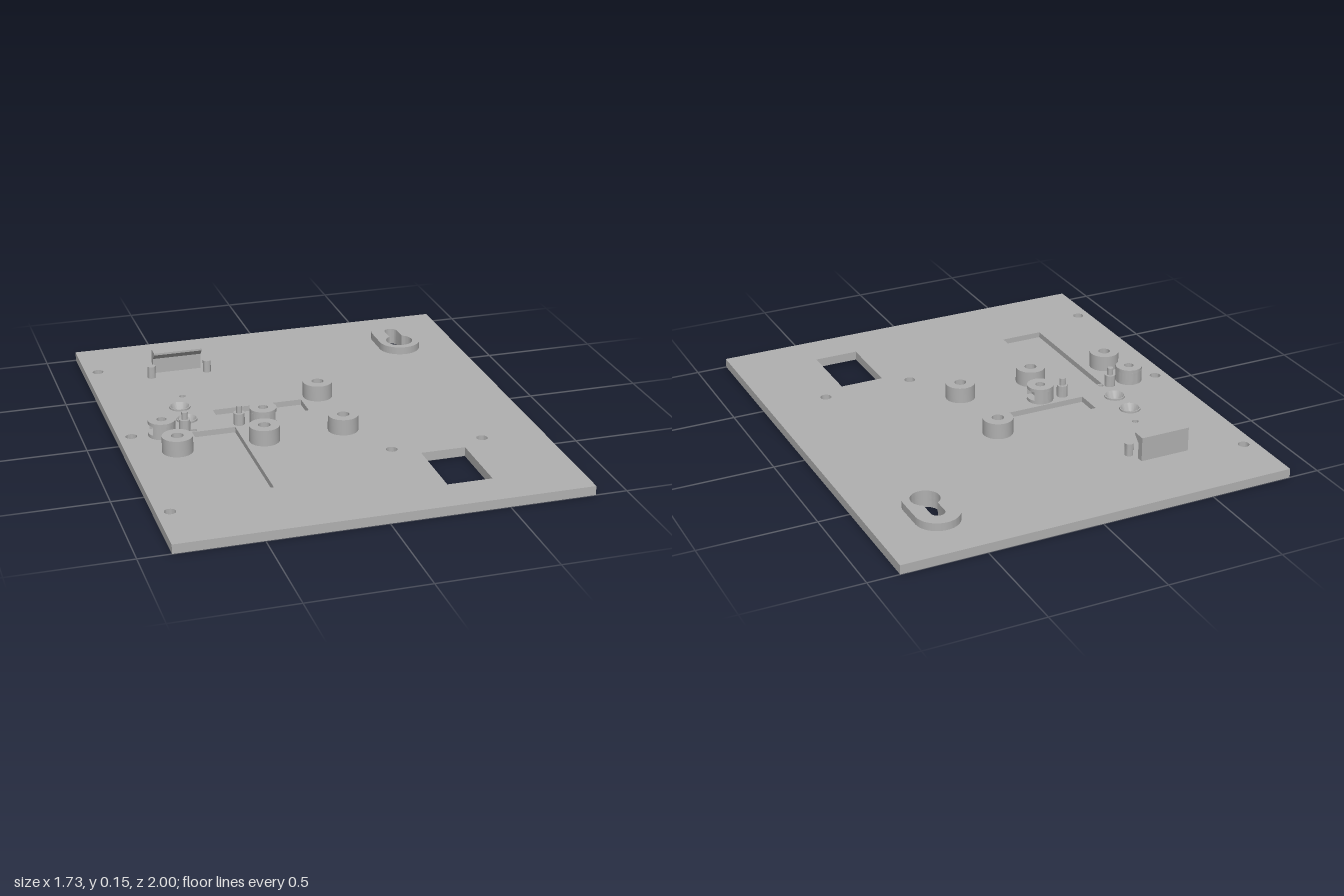
import * as THREE from 'three';
import { toCreasedNormals } from 'three/addons/utils/BufferGeometryUtils.js';

const TOP = 0.04;    // top of the plate
const FLOOR = 0.015; // floor of the blind pockets

export function createModel() {
  const model = new THREE.Group();
  const grey = new THREE.MeshStandardMaterial({ color: 0xb0b0b0 });
  grey.name = 'plain grey';

  const add = (name, geometry, x = 0, y = 0, z = 0, parent = model) => {
    const mesh = new THREE.Mesh(toCreasedNormals(geometry, 0.6), grey);
    mesh.name = name;
    mesh.position.set(x, y, z);
    parent.add(mesh);
    return mesh;
  };

  // Outlines are drawn in plan (x, z) and extruded upwards
  const rect = (x0, x1, z0, z1) => new THREE.Shape([[x0, -z1], [x1, -z1], [x1, -z0], [x0, -z0]]
    .map(([x, y]) => new THREE.Vector2(x, y)));
  const circle = (x, z, r) => new THREE.Shape().absarc(x, -z, r, 0, Math.PI * 2);
  const stadium = (x, z0, z1, r) => new THREE.Shape()
    .absarc(x, -z0, r, 0, Math.PI)
    .absarc(x, -z1, r, Math.PI, Math.PI * 2);
  const keyhole = () => {
    const a = Math.asin(0.03 / 0.061);
    return new THREE.Shape()
      .absarc(0.597, 0.75, 0.03, 0, Math.PI)
      .absarc(0.597, 0.63, 0.061, Math.PI / 2 + a, Math.PI * 2.5 - a);
  };
  const slab = (shape, holes, height) => {
    shape.holes = holes;
    return new THREE.ExtrudeGeometry(shape, { depth: height, bevelEnabled: false, curveSegments: 20 })
      .rotateX(-Math.PI / 2);
  };

  const standoffs = [[0.065, -0.19], [0.065, 0.185], [-0.655, 0.195], [-0.283, 0.195]];
  const screwHoles = [[-0.81, -0.735], [-0.81, 0], [-0.81, 0.73], [0.197, 0.437], [0.597, 0.437]];
  const sinks = [[-0.545, -0.24], [-0.545, -0.105]];

  // Plate: solid lower layer, upper layer with the blind pockets
  const throughHoles = () => [
    ...screwHoles.map(([x, z]) => circle(x, z, 0.024)),
    ...standoffs.map(([x, z]) => circle(x, z, 0.026)),
    circle(-0.507, -0.355, 0.014),
    circle(-0.542, 0.014, 0.012),
    rect(0.302, 0.495, 0.505, 0.815),
    keyhole(),
  ];
  add('plateBase', slab(rect(-0.865, 0.865, -1, 1),
    [...throughHoles(), ...sinks.map(([x, z]) => circle(x, z, 0.025))], FLOOR));
  add('plateTop', slab(rect(-0.865, 0.865, -1, 1), [
    ...throughHoles(),
    ...sinks.map(([x, z]) => circle(x, z, 0.0455)),
    rect(-0.415, -0.017, -0.17, -0.048),
    rect(-0.555, -0.367, 0.031, 0.64),
  ], TOP - FLOOR), 0, FLOOR, 0);

  // Countersunk rims
  for (const [x, z] of sinks) {
    const profile = [[0.046, FLOOR], [0.046, 0.048], [0.041, 0.048], [0.025, FLOOR]];
    add('countersunkRim', new THREE.LatheGeometry(profile.map(([r, y]) => new THREE.Vector2(r, y)), 40), x, 0, z);
  }

  // Tubular standoffs
  for (const [x, z] of standoffs) {
    add('standoff', slab(circle(0, 0, 0.065), [circle(0, 0, 0.026)], 0.07), x, TOP, z);
  }

  // Keyhole hanger boss
  add('hangerBoss', slab(stadium(0.597, -0.746, -0.632, 0.094), [keyhole()], 0.034), 0, TOP, 0);

  // Posts with a side slot facing outwards
  for (const [x, turn] of [[-0.24, 0], [-0.682, Math.PI]]) {
    const post = new THREE.Group();
    post.name = 'slottedPost';
    post.position.set(x, 0, 0.016);
    post.rotation.y = turn;
    model.add(post);
    const a = Math.asin(0.036 / 0.058);
    const notched = new THREE.Shape()
      .absarc(0, 0, 0.058, a, Math.PI * 2 - a)
      .lineTo(0.023, -0.036)
      .lineTo(0.023, 0.036);
    const bore = () => [circle(0, 0, 0.021)];
    add('postFoot', slab(circle(0, 0, 0.058), bore(), 0.015), 0, TOP, 0, post);
    add('postMiddle', slab(notched, bore(), 0.04), 0, 0.055, 0, post);
    add('postCap', slab(circle(0, 0, 0.058), bore(), 0.015), 0, 0.095, 0, post);
  }

  // Stepped locating pins
  for (const x of [-0.58, -0.342]) {
    add('pinBase', new THREE.CylinderGeometry(0.024, 0.024, 0.053, 28), x, TOP + 0.0265, 0.003);
    add('pinTip', new THREE.CylinderGeometry(0.013, 0.013, 0.032, 24), x, 0.109, 0.003);
  }

  // Small pins in front of the clip
  for (const x of [-0.59, -0.334]) {
    add('smallPin', new THREE.CylinderGeometry(0.018, 0.018, 0.055, 24), x, TOP + 0.0275, -0.605);
  }

  // Snap clip with an undercut hook, profile in (z, y) swept along x
  const clip = new THREE.Shape([[-0.68, TOP], [-0.65, TOP], [-0.65, 0.109], [-0.62, 0.137], [-0.62, 0.146], [-0.68, 0.146]]
    .map(([z, y]) => new THREE.Vector2(-z, y)));
  add('snapClip', new THREE.ExtrudeGeometry(clip, { depth: 0.22, bevelEnabled: false })
    .rotateY(Math.PI / 2), -0.572, 0, 0);

  return model;
}
